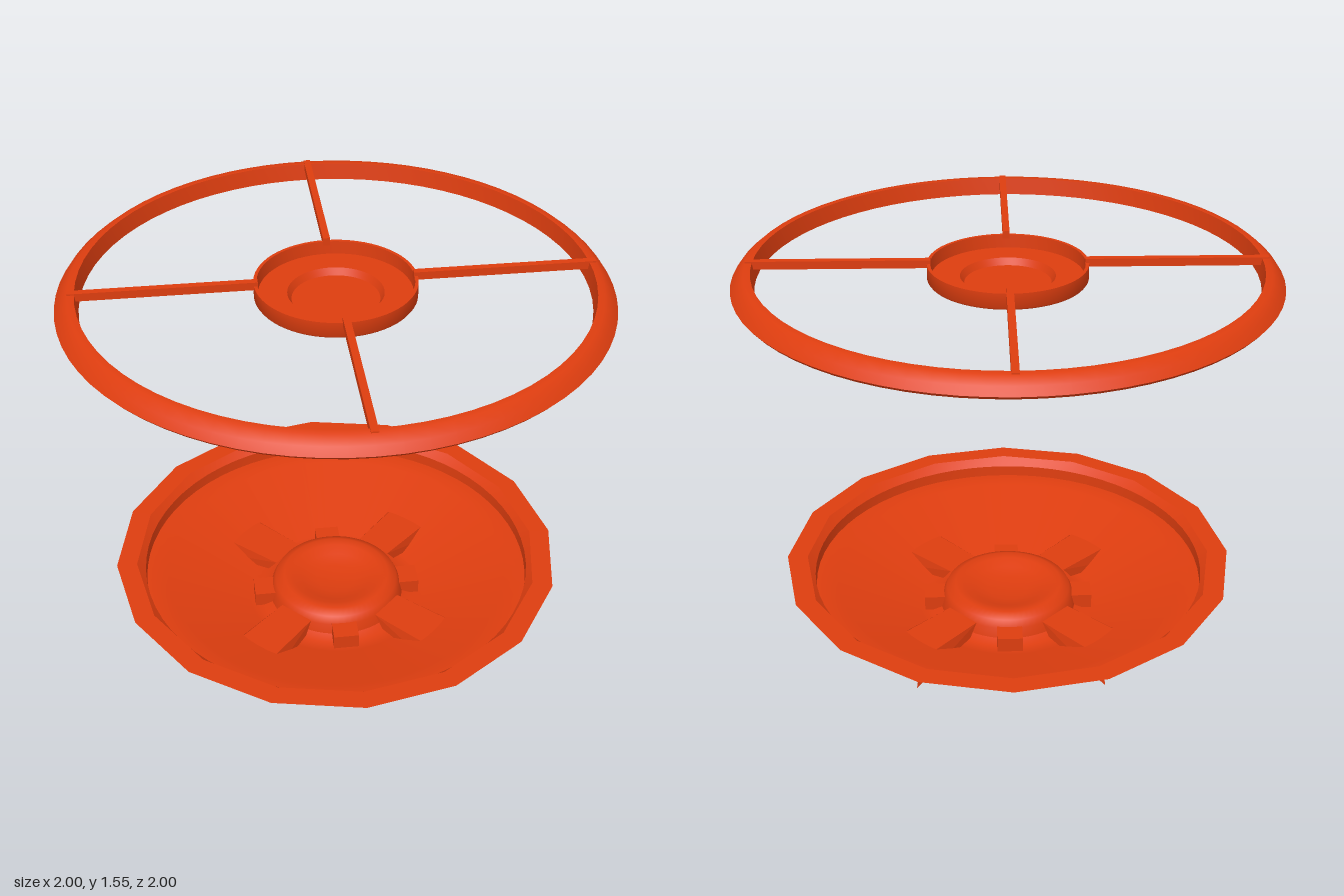
import * as THREE from 'three';
import { toCreasedNormals } from 'three/addons/utils/BufferGeometryUtils.js';

const material = new THREE.MeshStandardMaterial({ color: 0xdd3d0f, side: THREE.DoubleSide });

function add(parent, name, geometry) {
  const mesh = new THREE.Mesh(geometry, material);
  mesh.name = name;
  parent.add(mesh);
  return mesh;
}

// Surface of revolution from [radius, height] pairs
function lathe(points, sides = 64, crease = 0.7) {
  const profile = points.map(([r, y]) => new THREE.Vector2(r, y));
  return toCreasedNormals(new THREE.LatheGeometry(profile, sides), crease);
}

// Four copies of a part around the vertical axis
function fourAround(parent, name, offset, build) {
  for (let i = 0; i < 4; i++) {
    const arm = new THREE.Group();
    arm.name = name;
    arm.rotation.y = offset + i * Math.PI / 2;
    build(arm);
    parent.add(arm);
  }
}

function createWheel() {
  const wheel = new THREE.Group();
  wheel.name = 'upperWheel';

  // Outer ring with a sloping outside
  add(wheel, 'outerRing', lathe([
    [0.915, 1.485], [0.99, 1.485], [1.0, 1.497], [0.98, 1.525],
    [0.95, 1.55], [0.925, 1.55], [0.915, 1.485],
  ], 72));

  // Open dish with a shallow cup in its floor
  add(wheel, 'hub', lathe([
    [0, 1.455], [0.16, 1.455], [0.172, 1.478], [0.29, 1.478],
    [0.295, 1.485], [0.295, 1.54], [0.283, 1.54], [0.28, 1.49],
    [0.175, 1.49], [0.16, 1.465], [0, 1.465],
  ]));

  // Spokes resting on the ring
  fourAround(wheel, 'spoke', 0, (arm) => {
    const bar = add(arm, 'spokeBar', new THREE.BoxGeometry(0.67, 0.03, 0.026));
    bar.position.set(0.615, 1.54, 0);
  });
  return wheel;
}

function createBowl() {
  const bowl = new THREE.Group();
  bowl.name = 'lowerBowl';

  // Thin shell: dished boss, sloping sides, step and upright edge
  add(bowl, 'bowlShell', lathe([
    [0, 0.11], [0.08, 0.113], [0.14, 0.125], [0.18, 0.143], [0.215, 0.146],
    [0.25, 0.13], [0.265, 0.1], [0.275, 0.06], [0.31, 0.045], [0.36, 0.045],
    [0.69, 0.2], [0.775, 0.2], [0.777, 0.245], [0.815, 0.28],
  ]));

  // Flat faceted lip
  const lip = add(bowl, 'lip', new THREE.RingGeometry(0.81, 0.89, 16));
  lip.rotation.x = -Math.PI / 2;
  lip.position.y = 0.28;

  // Clips around the boss
  fourAround(bowl, 'clip', 0, (arm) => {
    const block = add(arm, 'clipBlock', new THREE.BoxGeometry(0.1, 0.105, 0.1));
    block.position.set(0.29, 0.0525, 0);
  });

  // Fins: a top plate with two flared side blades reaching below the bowl
  const plate = [[0.26, 0.11, -0.075], [0.26, 0.11, 0.075], [0.52, 0.11, 0.085], [0.52, 0.11, -0.085]];
  const blade = (s) => [[0.26, 0.11, 0.075 * s], [0.58, 0.11, 0.09 * s], [0.62, 0.01, 0.11 * s], [0.3, 0.06, 0.08 * s]];
  fourAround(bowl, 'fin', Math.PI / 4, (arm) => {
    add(arm, 'finPlate', quad(plate));
    for (const s of [-1, 1]) add(arm, 'finBlade', quad(blade(s)));
  });
  return bowl;
}

// Flat four-cornered panel
function quad(corners) {
  const geometry = new THREE.BufferGeometry();
  const order = [0, 1, 2, 0, 2, 3];
  geometry.setAttribute('position', new THREE.Float32BufferAttribute(order.flatMap((i) => corners[i]), 3));
  geometry.computeVertexNormals();
  return geometry;
}

export function createModel() {
  const model = new THREE.Group();
  model.name = 'wheelAndBowl';
  model.add(createWheel(), createBowl());
  return model;
}
